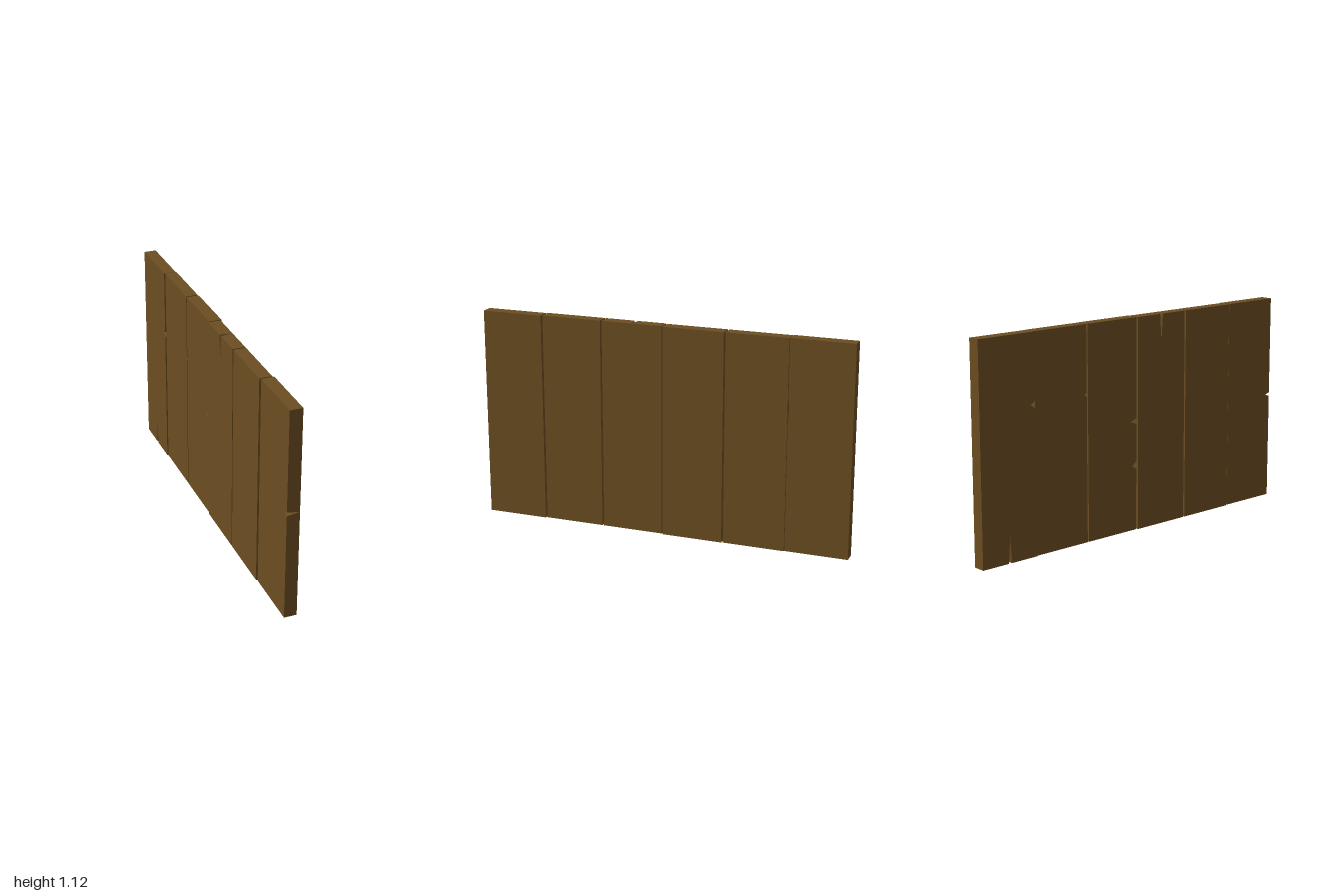
import * as THREE from 'three';

const HEIGHT = 1.12;

// Plank with wedge-shaped cracks. A crack opens on one broad face (side -1 or 1)
// and on one rim edge (0 bottom, 1 front, 2 top, 3 back).
function plankGeometry(x0, x1, z0, z1, cracks) {
  const pos = [];
  const tri = (a, b, c, out) => {
    const n = b.clone().sub(a).cross(c.clone().sub(a));
    const pts = n.dot(out) < 0 ? [a, c, b] : [a, b, c];
    pts.forEach((p) => pos.push(p.x, p.y, p.z));
  };
  const fill = (pts, flat, out) =>
    THREE.ShapeUtils.triangulateShape(flat(pts), []).forEach(([i, j, k]) => tri(pts[i], pts[j], pts[k], out));
  const corners = [[z0, 0], [z1, 0], [z1, HEIGHT], [z0, HEIGHT]];
  const inward = [[0, 1], [-1, 0], [0, -1], [1, 0]];
  const broad = { '-1': [], '1': [] };

  corners.forEach(([cz, cy], e) => {
    const [nz, ny] = corners[(e + 1) % 4];
    const len = Math.hypot(nz - cz, ny - cy);
    const dz = (nz - cz) / len, dy = (ny - cy) / len;
    const [iz, iy] = inward[e];
    const at = (t, x, into = 0) => new THREE.Vector3(x, cy + dy * t + iy * into, cz + dz * t + iz * into);
    const rim = {};
    for (const s of [-1, 1]) {
      const x = s < 0 ? x0 : x1;
      rim[s] = [at(0, x)];
      broad[s].push(at(0, x));
      const mine = cracks.filter((c) => c.edge === e && c.side === s)
        .map((c) => ({ ...c, t: (c.at - (e % 2 ? cy : cz)) * (e % 2 ? dy : dz) }))
        .sort((p, q) => p.t - q.t);
      for (const c of mine) {
        const a = at(c.t - c.half, x), b = at(c.t + c.half, x);
        const deep = at(c.t, x - s * c.depth), end = at(c.t, x, c.length);
        rim[s].push(a, deep, b);
        broad[s].push(a, end, b);
        tri(a, deep, end, b.clone().sub(a));
        tri(b, deep, end, a.clone().sub(b));
      }
      rim[s].push(at(len, x));
    }
    // Rim face
    fill([...rim[-1], ...rim[1].reverse()],
      (pts) => pts.map((p) => new THREE.Vector2(p.x, e % 2 ? p.y : p.z)),
      new THREE.Vector3(0, -iy, -iz));
  });
  // Broad faces
  for (const s of [-1, 1]) {
    fill(broad[s], (pts) => pts.map((p) => new THREE.Vector2(p.z, p.y)), new THREE.Vector3(s, 0, 0));
  }
  const geo = new THREE.BufferGeometry();
  geo.setAttribute('position', new THREE.Float32BufferAttribute(pos, 3));
  geo.computeVertexNormals();
  return geo;
}

export function createModel() {
  const group = new THREE.Group();
  group.name = 'plankWall';
  const wood = new THREE.MeshStandardMaterial({ color: 0x6b4d21 });
  wood.name = 'brown wood';

  const crack = (edge, at, half, length, depth, side = -1) => ({ edge, at, half, length, depth, side });
  // Planks from back to front: x range, z range, cracks
  const planks = [
    [-0.037, 0.028, -1, -0.668, [
      crack(0, -0.835, 0.01, 0.14, 0.055),
      crack(1, 0.765, 0.02, 0.03, 0.055),
      crack(1, 0.755, 0.075, 0.005, 0.02, 1),
    ]],
    [-0.031, 0.032, -0.666, -0.338, [crack(1, 0.765, 0.012, 0.015, 0.04)]],
    [-0.031, 0.035, -0.33, -0.005, [
      crack(1, 0.58, 0.015, 0.04, 0.06),
      crack(1, 0.345, 0.02, 0.03, 0.06),
    ]],
    [-0.037, 0.028, 0.002, 0.331, [crack(2, 0.165, 0.01, 0.14, 0.06)]],
    [-0.037, 0.028, 0.34, 0.664, []],
    [-0.031, 0.035, 0.671, 1, [crack(1, 0.58, 0.01, 0.04, 0.064)]],
  ];
  planks.forEach((p, i) => {
    const mesh = new THREE.Mesh(plankGeometry(...p), wood);
    mesh.name = `plank${i + 1}`;
    group.add(mesh);
  });
  return group;
}
